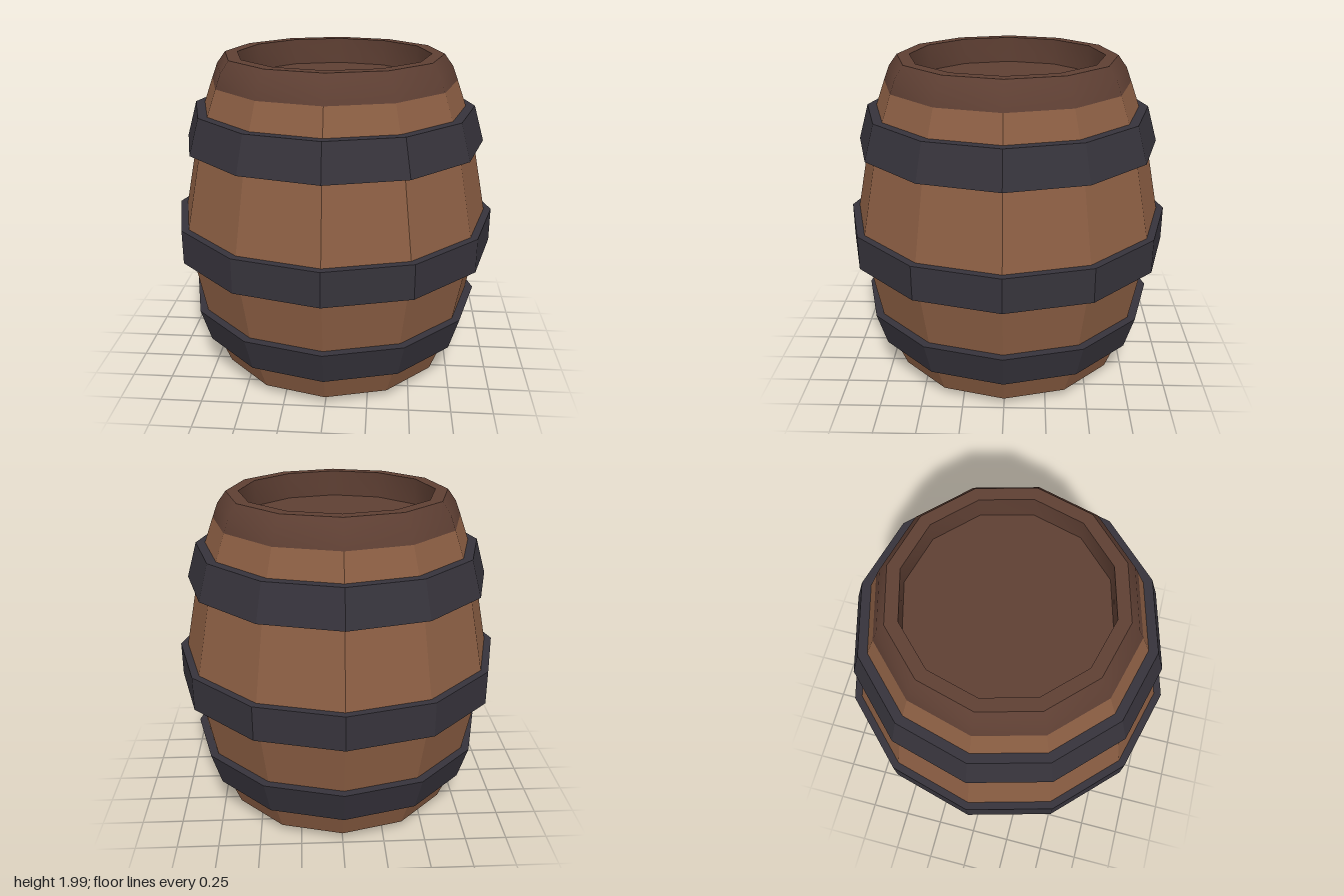
import * as THREE from 'three';
import { toCreasedNormals } from 'three/addons/utils/BufferGeometryUtils.js';

const SIDES = 12;

const material = (color, flatShading = true) => new THREE.MeshStandardMaterial({ color, flatShading });

// Twelve-sided ring from [radius, height] pairs; profiles run upward on the outside
function turned(name, profile, mat) {
  let geometry = new THREE.LatheGeometry(profile.map(([r, y]) => new THREE.Vector2(r, y)), SIDES);
  if (!mat.flatShading) geometry = toCreasedNormals(geometry, 0.62);
  const mesh = new THREE.Mesh(geometry, mat);
  mesh.name = name;
  return mesh;
}

// Flat twelve-sided disc with a corner on each axis
function disc(name, radius, y, facing, mat) {
  const mesh = new THREE.Mesh(new THREE.CircleGeometry(radius, SIDES), mat);
  mesh.name = name;
  mesh.rotation.x = -facing * Math.PI / 2;
  mesh.position.y = y;
  return mesh;
}

export function createModel() {
  const barrel = new THREE.Group();
  barrel.name = 'barrel';
  const wood = material(0x8b5e43);
  const darkWood = material(0x5e3f33);
  const darkWoodSmooth = material(0x5e3f33, false);
  const iron = material(0x36333b);

  // Bulging staves
  barrel.add(turned('staves', [
    [0.735, 0.055], [0.85, 0.35], [0.955, 0.9], [0.955, 1.01], [0.84, 1.57], [0.745, 1.83],
  ].map(([r, y]) => [r, y]), wood));

  // Chamfered base
  barrel.add(turned('baseChamfer', [[0.64, 0], [0.735, 0.055]], darkWood));
  barrel.add(disc('baseDisc', 0.64, 0, -1, darkWood));

  // Rounded rim with a recessed lid
  barrel.add(turned('rim', [
    [0.745, 1.83], [0.712, 1.915], [0.66, 1.985], [0.585, 1.985], [0.585, 1.825],
  ], darkWoodSmooth));
  barrel.add(disc('lid', 0.585, 1.825, 1, darkWood));

  // Iron hoops: bottom height, top height, bottom radius, top radius
  const hoops = [
    ['lowerHoop', 0.245, 0.455, 0.857, 0.92],
    ['middleHoop', 0.8, 1.01, 1, 1],
    ['upperHoop', 1.46, 1.675, 0.92, 0.857],
  ];
  for (const [name, y0, y1, r0, r1] of hoops) {
    barrel.add(turned(name, [
      [r0 - 0.1, y0], [r0, y0], [r1, y1], [r1 - 0.1, y1],
    ], iron));
  }
  return barrel;
}
